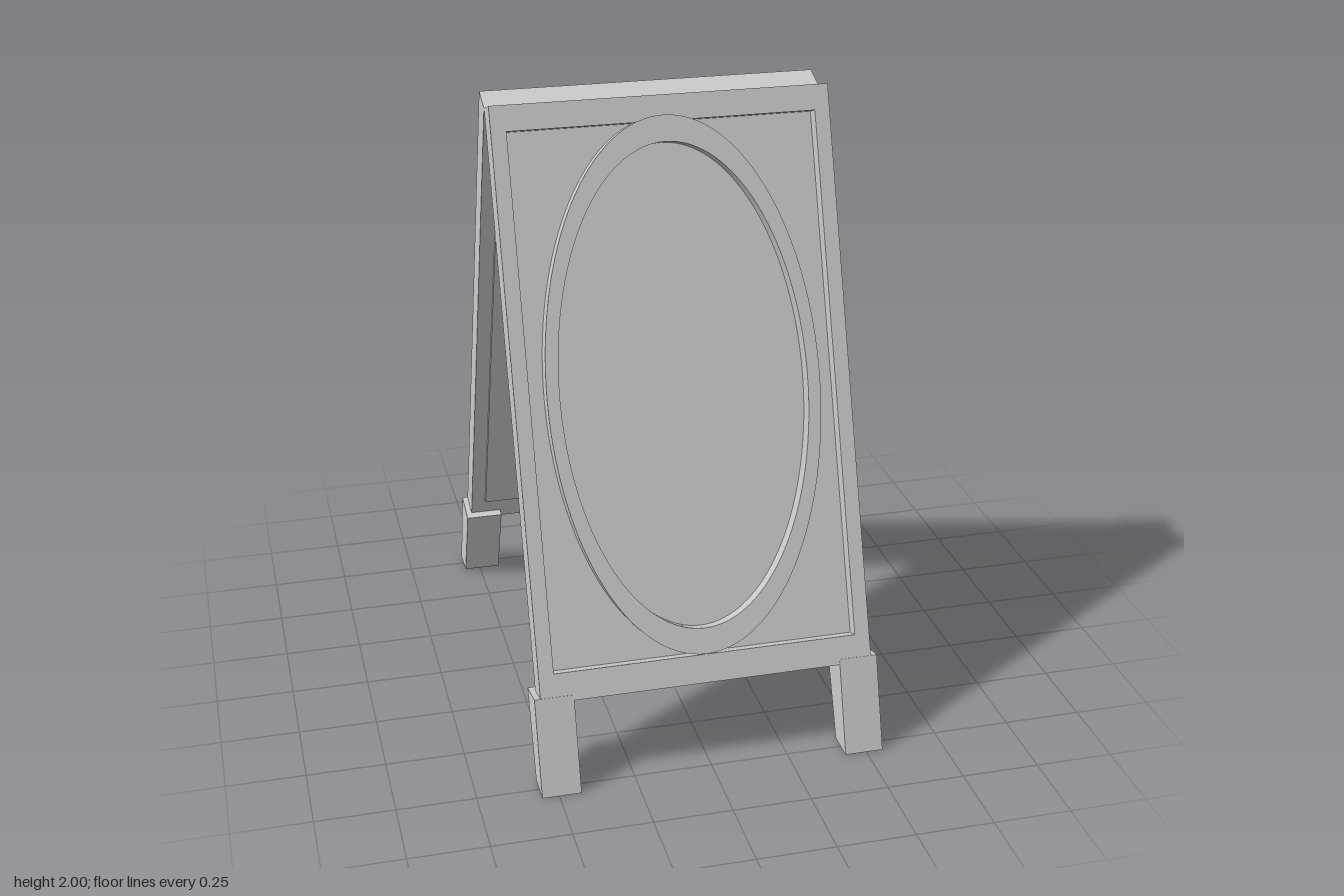
import * as THREE from 'three';
import { toCreasedNormals } from 'three/addons/utils/BufferGeometryUtils.js';

const TILT = THREE.MathUtils.degToRad(20);
const material = new THREE.MeshStandardMaterial({ color: 0xcccccc });

function addMesh(parent, name, geometry) {
  const mesh = new THREE.Mesh(geometry, material);
  mesh.name = name;
  parent.add(mesh);
  return mesh;
}

function rectangle(target, x, top, bottom) {
  target.moveTo(-x, bottom);
  target.lineTo(x, bottom);
  target.lineTo(x, top);
  target.lineTo(-x, top);
  target.closePath();
  return target;
}

// One leaning side: local origin is the outer top edge, z points outward
function createBoard() {
  const board = new THREE.Group();
  board.name = 'board';

  // Rectangular frame with an open middle
  const frameShape = rectangle(new THREE.Shape(), 0.535, 0, -1.83);
  frameShape.holes.push(rectangle(new THREE.Path(), 0.487, -0.08, -1.74));
  const frame = new THREE.ExtrudeGeometry(frameShape, { depth: 0.09, bevelEnabled: false });
  frame.translate(0, 0, -0.09);
  addMesh(board, 'frame', frame);

  // Panel, sunk at the outside and slightly proud at the inside
  const panel = new THREE.BoxGeometry(0.974, 1.66, 0.055);
  panel.translate(0, -0.91, -0.0745);
  addMesh(board, 'panel', panel);

  // Oval rim standing on the panel
  const rimShape = new THREE.Shape();
  rimShape.absellipse(0, 0, 0.435, 0.838, 0, Math.PI * 2);
  const opening = new THREE.Path();
  opening.absellipse(0, 0, 0.395, 0.756, 0, Math.PI * 2, true);
  rimShape.holes.push(opening);
  const rim = new THREE.ExtrudeGeometry(rimShape, { depth: 0.056, bevelEnabled: false, curveSegments: 64 });
  rim.translate(0, -0.9, -0.05);
  addMesh(board, 'ovalRim', toCreasedNormals(rim, 0.6));

  board.position.set(0, 2, 0.085);
  board.rotation.x = -TILT;
  return board;
}

// Tapered foot, drawn as a side profile (z, y) and extruded across x
function createFootGeometry() {
  const width = 0.124;
  const profile = new THREE.Shape([
    new THREE.Vector2(0.7, 0),
    new THREE.Vector2(0.8, 0),
    new THREE.Vector2(0.706, 0.297),
    new THREE.Vector2(0.588, 0.27),
  ]);
  const geometry = new THREE.ExtrudeGeometry(profile, { depth: width, bevelEnabled: false });
  geometry.rotateY(-Math.PI / 2);
  geometry.translate(width / 2, 0, 0);
  return geometry;
}

export function createModel() {
  const model = new THREE.Group();
  model.name = 'sandwichBoard';
  const footGeometry = createFootGeometry();

  // Two identical sides, back to back
  for (const [name, turn] of [['frontSide', 0], ['backSide', Math.PI]]) {
    const side = new THREE.Group();
    side.name = name;
    side.add(createBoard());
    for (const [footName, x] of [['leftFoot', 0.492], ['rightFoot', -0.492]]) {
      addMesh(side, footName, footGeometry).position.x = x;
    }
    side.rotation.y = turn;
    model.add(side);
  }
  return model;
}
